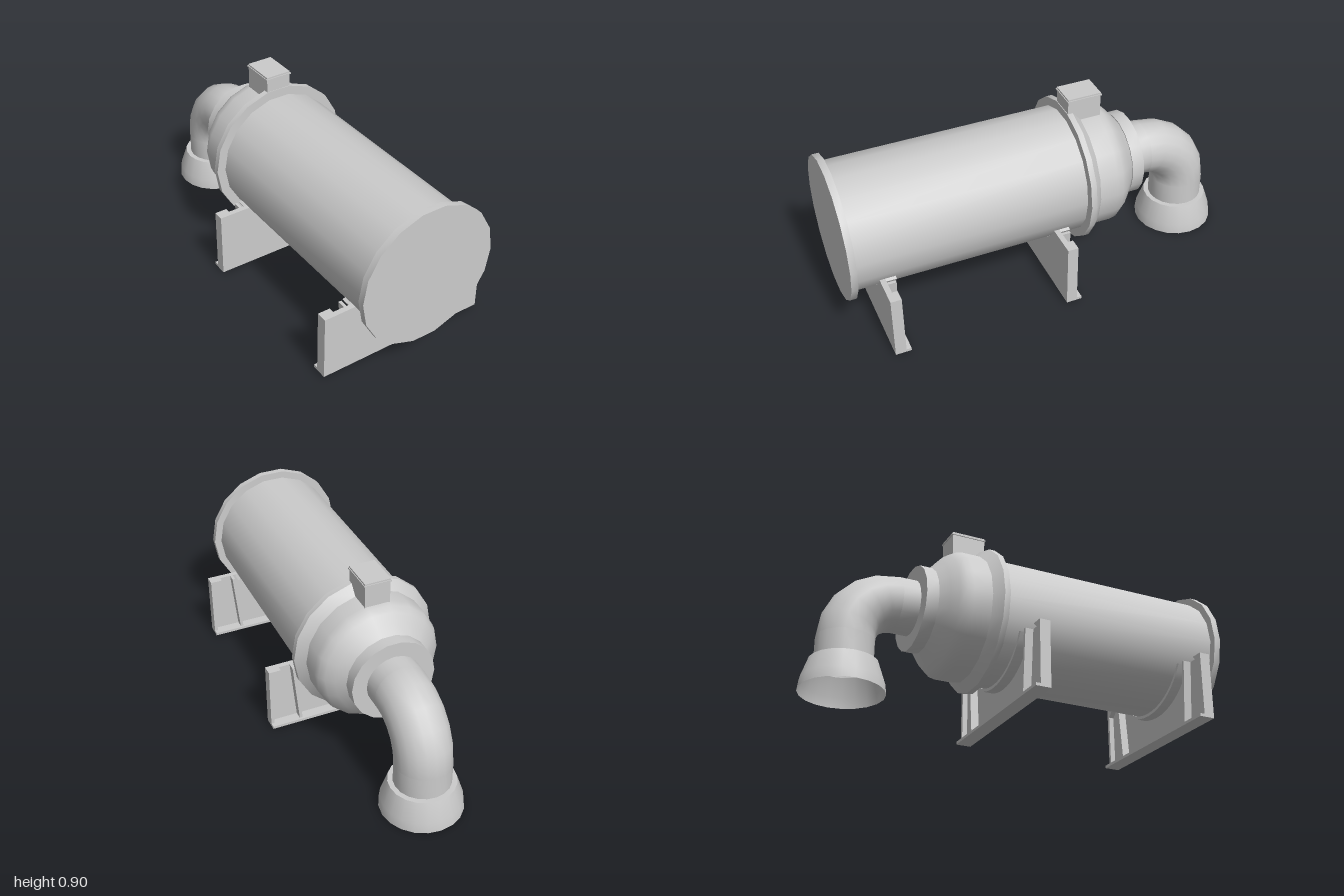
import * as THREE from 'three';
import { toCreasedNormals } from 'three/addons/utils/BufferGeometryUtils.js';

const SIDES = 18;
const AXIS_Y = 0.477; // height of the tank axis
const BODY_R = 0.307;
const material = new THREE.MeshStandardMaterial({ color: 0xcccccc, side: THREE.DoubleSide });

function add(parent, name, geometry, x = 0, y = 0, z = 0) {
  const mesh = new THREE.Mesh(geometry, material);
  mesh.name = name;
  mesh.position.set(x, y, z);
  parent.add(mesh);
  return mesh;
}

// Revolved profile of [radius, height] points, smooth around and sharp at corners
function revolve(points, sides = SIDES) {
  const profile = points.map(([r, h]) => new THREE.Vector2(r, h));
  return toCreasedNormals(new THREE.LatheGeometry(profile, sides, Math.PI / 2), 0.6);
}

// Revolved around the tank axis; heights are z positions, back to front
const alongTank = (points, sides) => revolve(points, sides).rotateX(Math.PI / 2);

function extrude(shape, depth) {
  const options = { depth, bevelEnabled: false, curveSegments: 9 };
  return toCreasedNormals(new THREE.ExtrudeGeometry(shape, options), 0.6);
}

const polygon = (points) => new THREE.Shape(points.map(([x, y]) => new THREE.Vector2(x, y)));

// Saddle bracket: local z = 0 is its back edge, z = 0.076 its front face
function createSupport() {
  const group = new THREE.Group();
  const half = 0.43, top = 0.335, base = 0.01, depth = 0.076;
  const start = Math.asin((top - AXIS_Y) / BODY_R);
  const end = -Math.PI - start;

  const plate = polygon([[-half, base], [half, base], [half, top]]);
  plate.absarc(0, AXIS_Y, BODY_R, start, end, true);
  plate.lineTo(-half, top);
  add(group, 'supportPlate', extrude(plate, 0.026), 0, 0, depth - 0.026);

  const strip = new THREE.Shape();
  strip.absarc(0, AXIS_Y, BODY_R, start, end, true);
  strip.absarc(0, AXIS_Y, BODY_R + 0.015, end, start, false);
  add(group, 'saddleStrip', extrude(strip, depth));

  add(group, 'supportFoot', new THREE.BoxGeometry(half * 2, 0.014, depth), 0, base + 0.007, depth / 2);

  for (const s of [1, -1]) {
    add(group, 'endFlange', new THREE.BoxGeometry(0.016, top - base, 0.052),
      s * (half - 0.008), (top + base) / 2, depth - 0.026);
    const gusset = polygon([[s * half, top], [s * 0.37, top], [s * half, 0.275]]);
    add(group, 'cornerGusset', extrude(gusset, 0.052), 0, 0, depth - 0.052);
    const rib = polygon([[s * 0.3, top], [s * 0.315, top], [s * 0.285, base], [s * 0.27, base]]);
    add(group, 'stiffeningRib', extrude(rib, depth - 0.01), 0, 0, 0.01);
  }
  return group;
}

export function createModel() {
  const model = new THREE.Group();
  model.name = 'horizontalTank';

  // Tank shell, end plate and rear assembly
  const tank = new THREE.Group();
  tank.name = 'tank';
  tank.position.y = AXIS_Y;
  model.add(tank);
  add(tank, 'tankBody', alongTank([[BODY_R, -0.18], [BODY_R, 0.98]]));
  add(tank, 'frontEndPlate', alongTank([[BODY_R, 0.968], [0.343, 0.968], [0.343, 1], [0, 1]]));
  add(tank, 'rearFlange', alongTank([[BODY_R, -0.22], [0.351, -0.18], [0.351, -0.152], [BODY_R, -0.152]]));
  add(tank, 'rearDome', alongTank([
    [0.2, -0.44], [0.245, -0.402], [0.28, -0.37], [0.3, -0.342], [BODY_R, -0.31], [BODY_R, -0.18],
  ]));
  add(tank, 'outletCollar', alongTank([[0.13, -0.5], [0.205, -0.5], [0.205, -0.44], [0.19, -0.44]]));

  // Square neck with a thin lid
  add(model, 'neck', new THREE.BoxGeometry(0.124, 0.13, 0.165), 0, 0.825, -0.238);
  add(model, 'neckLid', new THREE.BoxGeometry(0.134, 0.006, 0.175), 0, 0.889, -0.238);
  add(model, 'neckCap', new THREE.BoxGeometry(0.126, 0.008, 0.167), 0, 0.896, -0.238);

  // Outlet pipe: straight run, quarter bend, drop and flared mouth
  const pipeR = 0.133, bendR = 0.222, bendZ = -0.583;
  const outletZ = bendZ - bendR;
  add(model, 'outletPipe', alongTank([[pipeR, bendZ], [pipeR, -0.46]], 20), 0, AXIS_Y);
  const bend = new THREE.TorusGeometry(bendR, pipeR, 20, 5, Math.PI / 2).rotateY(Math.PI / 2);
  add(model, 'pipeBend', bend, 0, AXIS_Y - bendR, bendZ);
  add(model, 'dropPipe', revolve([[pipeR, 0.125], [pipeR, AXIS_Y - bendR]], 20), 0, 0, outletZ);
  add(model, 'flaredMouth', revolve([[0.195, 0], [0.189, 0.05], [0.157, 0.145], [pipeR, 0.145]], 20), 0, 0, outletZ);

  // Two saddle supports
  for (const [name, z] of [['frontSupport', 0.783], ['rearSupport', -0.072]]) {
    const support = createSupport();
    support.name = name;
    support.position.z = z;
    model.add(support);
  }
  return model;
}
